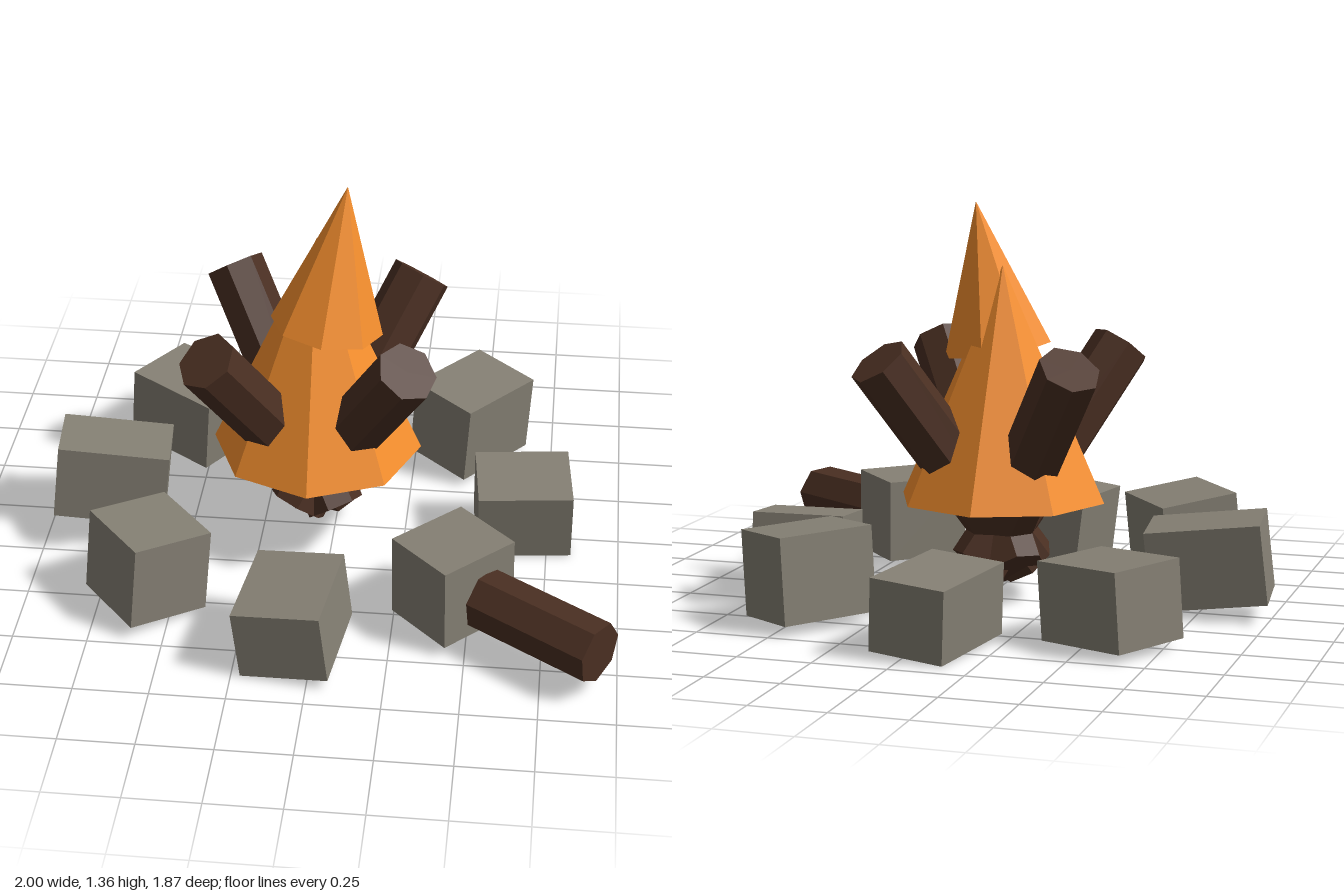
import * as THREE from 'three';

const mat = (color) => new THREE.MeshStandardMaterial({ color, flatShading: true });

export function createModel() {
  const model = new THREE.Group();
  model.name = 'campfire';
  const wood = mat(0x4a2f22), stone = mat(0x858074), flame = mat(0xf58f2e);
  const up = new THREE.Vector3(0, 1, 0);

  // Places a y-aligned geometry between two points
  const span = (name, makeGeometry, material, from, to) => {
    const a = new THREE.Vector3(...from), b = new THREE.Vector3(...to);
    const axis = b.clone().sub(a);
    const mesh = new THREE.Mesh(makeGeometry(axis.length()), material);
    mesh.name = name;
    mesh.position.copy(a).add(b).multiplyScalar(0.5);
    mesh.quaternion.setFromUnitVectors(up, axis.normalize());
    model.add(mesh);
    return mesh;
  };
  const logShape = (length) => new THREE.CylinderGeometry(0.105, 0.105, length, 7);
  const coneShape = (radius) => (height) => new THREE.ConeGeometry(radius, height, 8);

  // Flames: a wide upright cone and a smaller leaning one
  const cx = -0.06;
  span('lowerFlame', coneShape(0.36), flame, [cx, 0.36, 0], [cx, 1.16, 0]);
  span('upperFlame', coneShape(0.19), flame, [-0.02, 0.87, 0.075], [0.045, 1.37, 0.03]);

  // Four logs crossing under the flames, leaning outwards
  for (const sx of [-1, 1]) {
    for (const sz of [-1, 1]) {
      span('leaningLog', logShape, wood,
        [cx - sx * 0.065, 0.13, -sz * 0.065], [cx + sx * 0.33, 0.86, sz * 0.33]);
    }
  }

  // Spare log lying outside the ring
  span('spareLog', logShape, wood, [0.555, 0.165, 0.59], [0.936, 0.165, 0.845]);

  // Ring of stones: centre, size, then yaw, pitch and roll
  const stones = [
    [[-0.067, 0.145, -0.72], [0.265, 0.24, 0.385], [-0.2, -0.05, 0.06]],
    [[0.452, 0.18, -0.508], [0.267, 0.29, 0.342], [-0.68, -0.02, -0.06]],
    [[0.66, 0.145, 0], [0.325, 0.25, 0.265], [0.1, 0.1, 0.01]],
    [[0.446, 0.185, 0.508], [0.27, 0.29, 0.3], [-0.8, 0, 0.02]],
    [[-0.065, 0.152, 0.727], [0.295, 0.245, 0.355], [-0.13, 0.03, 0.11]],
    [[-0.58, 0.175, 0.502], [0.29, 0.29, 0.303], [0.7, -0.02, -0.12]],
    [[-0.785, 0.19, 0.005], [0.387, 0.27, 0.25], [0.1, -0.05, -0.11]],
    [[-0.575, 0.155, -0.505], [0.358, 0.26, 0.283], [-0.55, -0.03, -0.06]],
  ];
  for (const [position, size, [yaw, pitch, roll]] of stones) {
    const mesh = new THREE.Mesh(new THREE.BoxGeometry(...size), stone);
    mesh.name = 'ringStone';
    mesh.position.set(...position);
    mesh.rotation.set(pitch, yaw, roll, 'YXZ');
    model.add(mesh);
  }
  return model;
}
